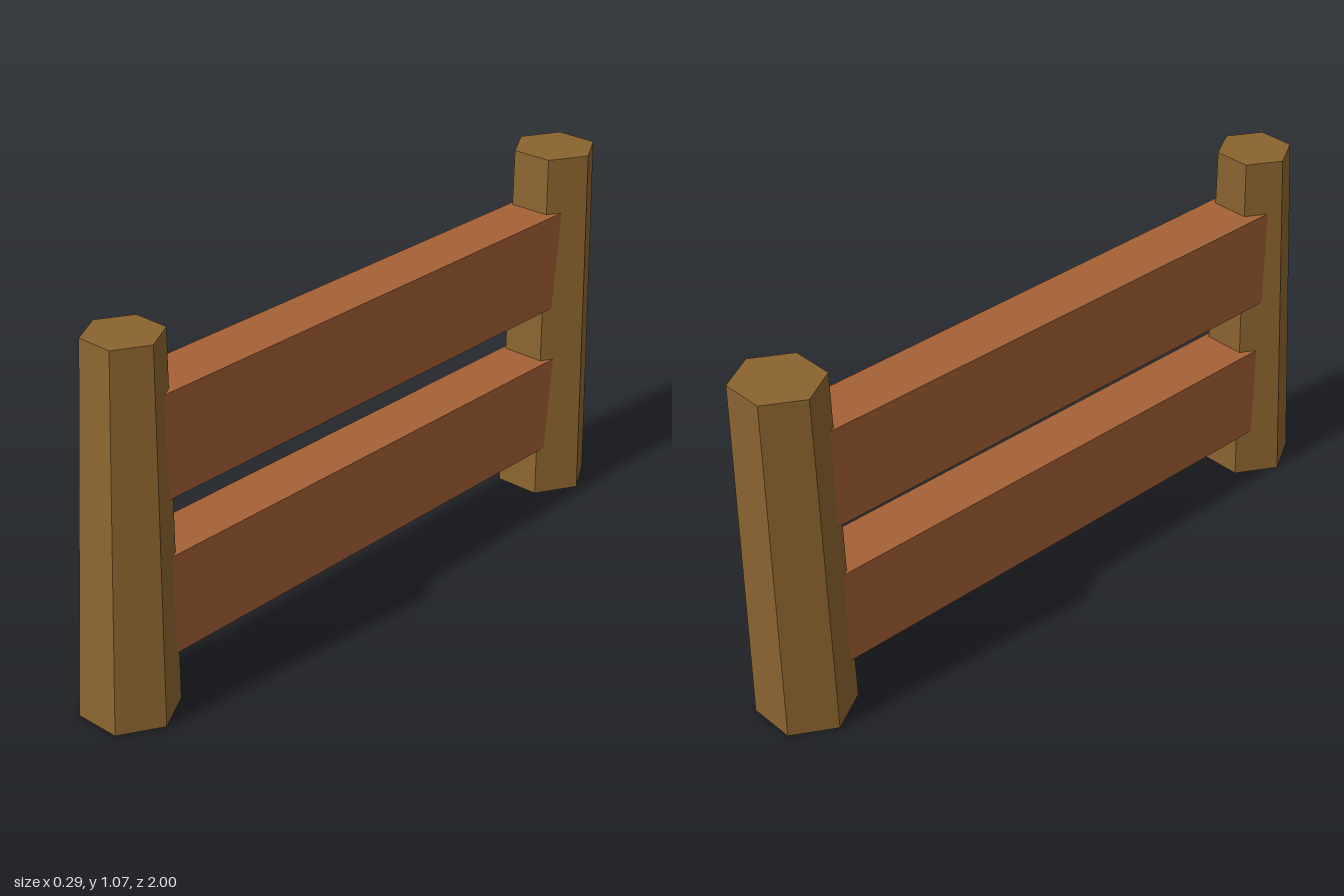
import * as THREE from 'three';

const postWood = new THREE.MeshStandardMaterial({ color: 0x8a642f, flatShading: true });
postWood.name = 'post wood';
const railWood = new THREE.MeshStandardMaterial({ color: 0xa56036, flatShading: true });
railWood.name = 'rail wood';

const POST_HEIGHT = 1.065;

// Leaning, tapered hexagonal post; each end is given as { x, z, r }
function makePost(name, bottom, top) {
  const geo = new THREE.CylinderGeometry(top.r, bottom.r, POST_HEIGHT, 6, 1, false, Math.PI / 6);
  geo.translate(0, POST_HEIGHT / 2, 0);
  const pos = geo.attributes.position;
  for (let i = 0; i < pos.count; i++) {
    const t = pos.getY(i) / POST_HEIGHT;
    pos.setX(i, pos.getX(i) + THREE.MathUtils.lerp(bottom.x, top.x, t));
    pos.setZ(i, pos.getZ(i) + THREE.MathUtils.lerp(bottom.z, top.z, t));
  }
  geo.computeVertexNormals();
  const mesh = new THREE.Mesh(geo, postWood);
  mesh.name = name;
  return mesh;
}

// Plank running between the posts, its ends sunk into them; xBack and xFront are its side limits
function makeRail(name, y0, y1, xBack, xFront) {
  const geo = new THREE.BoxGeometry(1, y1 - y0, 1.7);
  geo.translate(0, (y0 + y1) / 2, 0);
  const pos = geo.attributes.position;
  for (let i = 0; i < pos.count; i++) {
    const limits = pos.getZ(i) > 0 ? xFront : xBack;
    pos.setX(i, limits[pos.getX(i) > 0 ? 1 : 0]);
  }
  geo.computeVertexNormals();
  const mesh = new THREE.Mesh(geo, railWood);
  mesh.name = name;
  return mesh;
}

export function createModel() {
  const fence = new THREE.Group();
  fence.name = 'fence';
  fence.add(
    makePost('frontPost', { x: 0.004, z: 0.882, r: 0.136 }, { x: 0.003, z: 0.842, r: 0.108 }),
    makePost('backPost', { x: 0.004, z: -0.859, r: 0.139 }, { x: -0.023, z: -0.893, r: 0.124 }),
    makeRail('upperRail', 0.605, 0.9, [-0.092, 0.068], [-0.088, 0.08]),
    makeRail('lowerRail', 0.15, 0.44, [-0.085, 0.08], [-0.085, 0.08])
  );
  return fence;
}
